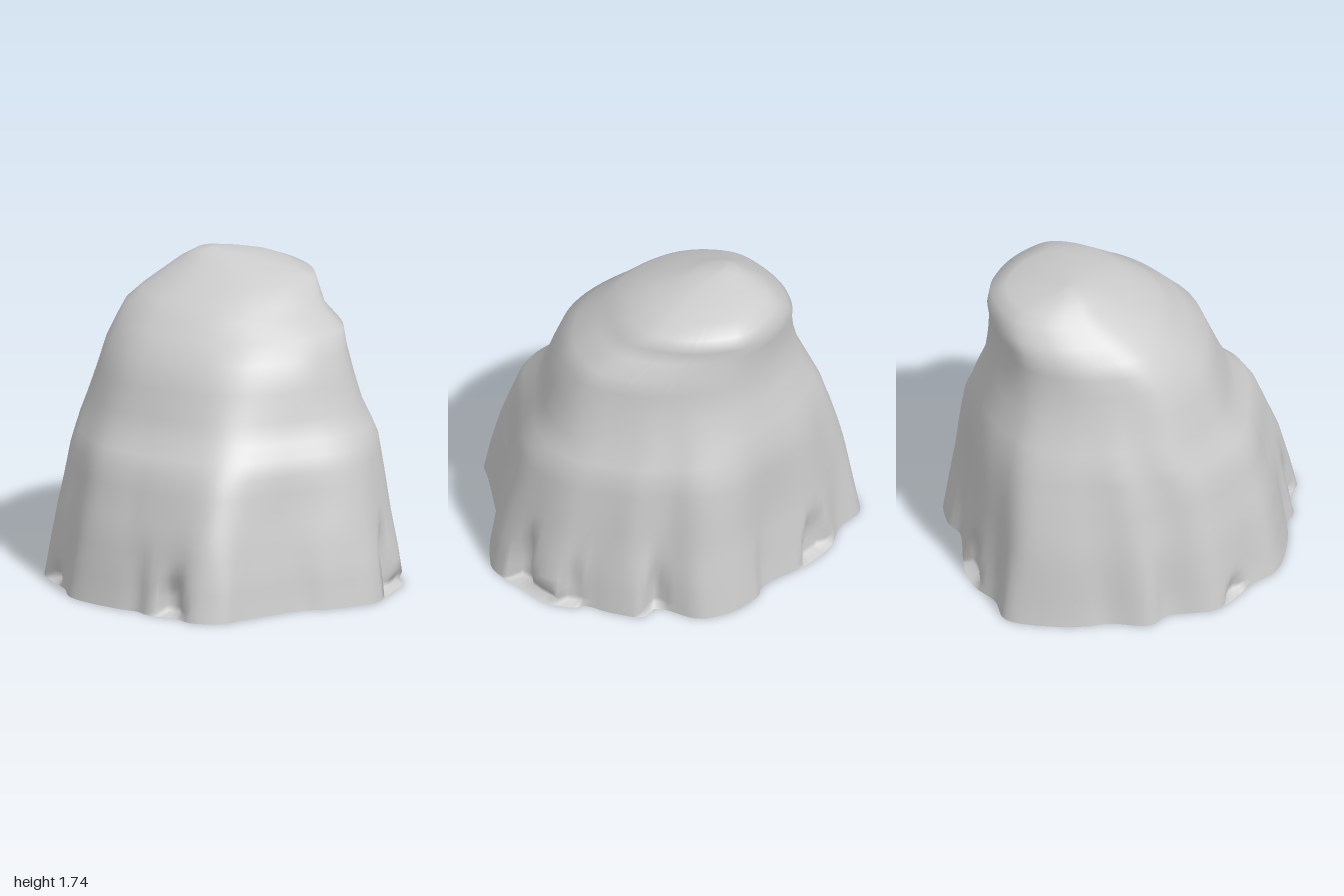
import * as THREE from 'three';

// Ground outline of the boulder as x, z pairs, running from +x towards +z
const OUTLINE = [
  0.99, -0.19, 0.99, -0.07, 0.99, 0.2, 0.93, 0.29, 0.79, 0.43, 0.68, 0.5, 0.55, 0.67, 0.44, 0.83,
  0.4, 0.9, 0.31, 0.95, 0.21, 0.97, 0.11, 0.92, -0.07, 0.91, -0.14, 0.865, -0.28, 0.85, -0.59, 0.74,
  -0.69, 0.59, -0.8, 0.49, -0.91, 0.35, -0.92, 0.09, -1, -0.01, -0.95, -0.24, -0.96, -0.37,
  -0.92, -0.6, -0.83, -0.79, -0.65, -0.82, -0.5, -0.91, -0.32, -0.94, 0.03, -0.92, 0.09, -0.96,
  0.2, -0.975, 0.29, -0.97, 0.47, -0.89, 0.58, -0.66, 0.68, -0.67, 0.79, -0.51, 0.85, -0.37, 0.9, -0.35,
];

// Rounder outline of the crown, scaled to a unit box, cut back between +x and -z
const CROWN = [
  1, 0, 0.92, 0.37, 0.75, 0.64, 0.42, 0.91, 0, 1, -0.58, 0.87, -0.95, 0.46, -1, 0,
  -0.92, -0.43, -0.7, -0.79, -0.25, -1, 0.13, -1, 0.42, -0.84, 0.67, -0.62, 0.87, -0.34,
];

// Cross-sections: height, then the left, right, front and back limits
const LEVELS = [
  [0, -1, 0.99, 0.97, -0.97],
  [0.2, -0.965, 0.96, 0.925, -0.94],
  [0.4, -0.93, 0.92, 0.87, -0.91],
  [0.73, -0.86, 0.86, 0.74, -0.88],
  [0.82, -0.835, 0.84, 0.68, -0.87],
  [0.89, -0.82, 0.8, 0.6, -0.85],
  [1.0, -0.775, 0.74, 0.55, -0.83],
  [1.15, -0.72, 0.7, 0.49, -0.775],
  [1.3, -0.68, 0.65, 0.43, -0.76],
  [1.4, -0.65, 0.61, 0.32, -0.755],
  [1.48, -0.62, 0.49, 0.24, -0.76],
  [1.55, -0.55, 0.44, 0.16, -0.77],
  [1.63, -0.45, 0.38, 0.0, -0.75],
  [1.67, -0.4, 0.24, -0.1, -0.67],
  [1.7, -0.35, 0.12, -0.17, -0.57],
  [1.73, -0.3, -0.05, -0.25, -0.45],
  [1.742, -0.22, -0.22, -0.35, -0.35],
];

// Undercut notches at the foot: x, z, half width, height, depth
const NOTCHES = [
  [0.07, 0.91, 0.1, 0.28, 0.08],
  [0.98, 0.0, 0.1, 0.45, 0.08],
  [0.97, -0.14, 0.18, 0.1, 0.05],
  [0.9, -0.31, 0.08, 0.45, 0.05],
  [0.61, -0.67, 0.09, 0.4, 0.04],
  [-0.8, 0.49, 0.1, 0.13, 0.05],
  [-0.4, -0.93, 0.15, 0.35, 0.06],
];

const SEGMENTS = 160;
const HEIGHTS = [0, 0.02, 0.05, 0.1, 0.15, 0.2, 0.26, 0.32, 0.4, 0.48, 0.56, 0.64,
  ...LEVELS.slice(3).map((level) => level[0])];
const { lerp, smoothstep } = THREE.MathUtils;

// Limits of the boulder at any height
function limitsAt(y) {
  let k = 1;
  while (k < LEVELS.length - 1 && LEVELS[k][0] < y) k++;
  const a = LEVELS[k - 1], b = LEVELS[k];
  const t = (y - a[0]) / (b[0] - a[0]);
  return a.map((v, n) => lerp(v, b[n], t)).slice(1);
}

// How far the notches cut in above a foot point
function notchDepth(p, y) {
  let cut = 0;
  for (const [x, z, width, height, depth] of NOTCHES) {
    if (y >= height) continue;
    const t = y / height;
    const taper = width * (1 - 0.6 * t);
    const across = 1 - smoothstep(Math.hypot(p.x - x, p.z - z), taper * 0.5, taper);
    const along = Math.min(1, y / 0.02) * (1 - smoothstep(t, 0.3, 1));
    cut = Math.max(cut, depth * across * along);
  }
  return cut;
}

// Closed smooth outline, evenly spaced
function outlinePoints(flat, count) {
  const pts = [];
  for (let i = 0; i < flat.length; i += 2) pts.push(new THREE.Vector3(flat[i], 0, flat[i + 1]));
  return new THREE.CatmullRomCurve3(pts, true).getSpacedPoints(count).slice(0, count);
}

// Foot outline with its smallest lobes averaged away
function softened(foot, reach) {
  return foot.map((p, i) => {
    const sum = new THREE.Vector3();
    for (let k = -reach; k <= reach; k++) sum.add(foot[(i + k + SEGMENTS) % SEGMENTS]);
    return sum.divideScalar(2 * reach + 1);
  });
}

// Crown outline sampled in the directions of the foot points
function crownPoints(foot) {
  const fine = outlinePoints(CROWN, 1440).map((p) => p.normalize === undefined ? p : { p, dir: p.clone().normalize() });
  return foot.map((f) => {
    const dir = f.clone().normalize();
    return fine.reduce((best, c) => (c.dir.dot(dir) > best.dir.dot(dir) ? c : best)).p;
  });
}

// One ring: the foot outline carries up to the ledges, then rounds off to the crown
function ringAt(y, foot, soft, crown) {
  const [left, right, front, back] = limitsAt(y);
  const fade = smoothstep(y, 0.05, 0.5), round = smoothstep(y, 0.35, 1.35);
  const ring = foot.map((p, i) => p.clone().lerp(soft[i], fade).lerp(crown[i], round));
  const box = new THREE.Box3().setFromPoints(ring);
  ring.forEach((p, i) => {
    p.x = lerp(left, right, (p.x - box.min.x) / (box.max.x - box.min.x));
    p.z = lerp(back, front, (p.z - box.min.z) / (box.max.z - box.min.z));
    p.multiplyScalar(1 - notchDepth(foot[i], y));
    p.y = y;
  });
  return ring;
}

// Sides and crown
function bodyGeometry() {
  const foot = outlinePoints(OUTLINE, SEGMENTS), soft = softened(foot, 3), crown = crownPoints(foot);
  const points = [], index = [];
  HEIGHTS.forEach((y, j) => {
    points.push(...ringAt(y, foot, soft, crown));
    if (j === HEIGHTS.length - 1) return;
    for (let i = 0; i < SEGMENTS; i++) {
      const a = j * SEGMENTS + i, b = j * SEGMENTS + (i + 1) % SEGMENTS;
      index.push(a, a + SEGMENTS, b, b, a + SEGMENTS, b + SEGMENTS);
    }
  });
  const g = new THREE.BufferGeometry().setFromPoints(points);
  g.setIndex(index);
  g.computeVertexNormals();
  return g;
}

// Flat underside as a fan, its shading running on from the sides at the rim
function undersideGeometry(body) {
  const rim = (name) => Array.from(body.attributes[name].array.slice(0, SEGMENTS * 3));
  const index = [];
  for (let i = 0; i < SEGMENTS; i++) index.push(SEGMENTS, i, (i + 1) % SEGMENTS);
  const g = new THREE.BufferGeometry();
  g.setAttribute('position', new THREE.Float32BufferAttribute([...rim('position'), 0, 0, 0], 3));
  g.setAttribute('normal', new THREE.Float32BufferAttribute([...rim('normal'), 0, -1, 0], 3));
  g.setIndex(index);
  return g;
}

export function createModel() {
  const stone = new THREE.MeshStandardMaterial({ color: 0xcccccc });
  stone.name = 'stone grey';

  const model = new THREE.Group();
  model.name = 'boulder';
  const body = new THREE.Mesh(bodyGeometry(), stone);
  body.name = 'boulderBody';
  const underside = new THREE.Mesh(undersideGeometry(body.geometry), stone);
  underside.name = 'underside';
  model.add(body, underside);
  return model;
}
